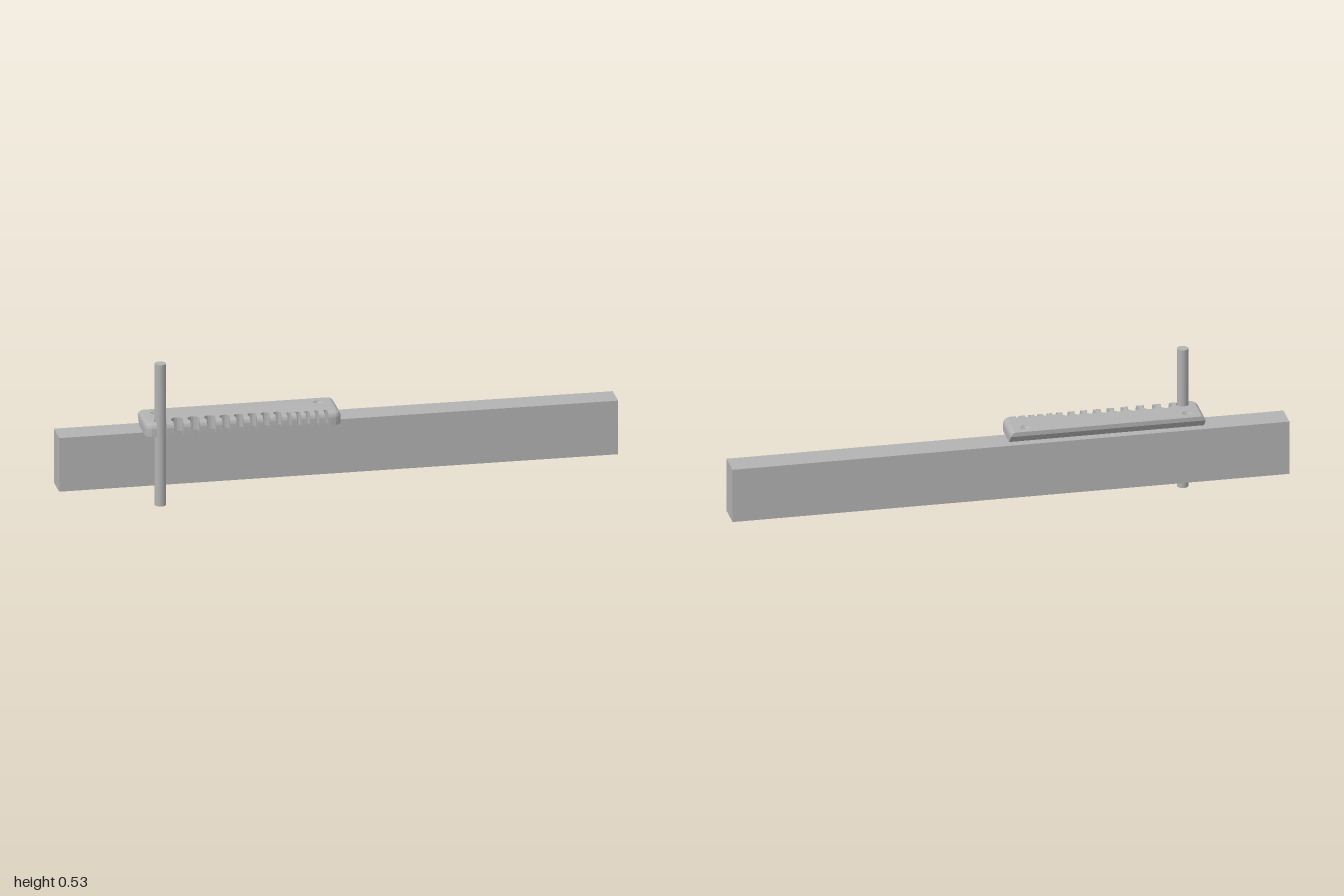
import * as THREE from 'three';
import { toCreasedNormals } from 'three/addons/utils/BufferGeometryUtils.js';

const LEFT = -0.7, RIGHT = 0, BACK = -0.078, FRONT = 0.079, CORNER = 0.03, ROUND = 0.02;
const HEIGHTS = [0, 0.028, 0.032, 0.0382, 0.0421, 0.0453, 0.0473, 0.048];
const SCREWS = [[-0.643, -0.037], [-0.06, -0.037]];

// Slots along the front edge: centre x, centre z, radius
const SLOTS = [
  [-0.643, 0.045, 0.023], [-0.583, 0.045, 0.022], [-0.524, 0.045, 0.021],
  [-0.466, 0.045, 0.02], [-0.413, 0.046, 0.018], [-0.363, 0.046, 0.017],
  [-0.315, 0.046, 0.016], [-0.269, 0.047, 0.015], [-0.225, 0.047, 0.014],
  ...[0, 1, 2, 3, 4].map((i) => [-0.186 + i * 0.033, 0.058, 0.0105 - i * 0.0006]),
];

// Plan outline (shape y is -z) with keyhole slots and screw holes
function rackShape() {
  const s = new THREE.Shape();
  s.moveTo(LEFT, -BACK);
  s.lineTo(LEFT, -FRONT + CORNER);
  s.absarc(LEFT + CORNER, -FRONT + CORNER, CORNER, Math.PI, Math.PI * 1.5, false);
  for (const [x, z, r] of SLOTS) {
    const a = Math.asin(0.78), m = r * 0.78;
    s.lineTo(x - m, -FRONT);
    s.absarc(x, -z, r, -Math.PI / 2 - a, -Math.PI / 2 + a, true);
    s.lineTo(x + m, -FRONT);
  }
  s.absarc(RIGHT - CORNER, -FRONT + CORNER, CORNER, -Math.PI / 2, 0, false);
  s.lineTo(RIGHT, -BACK);
  for (const [x, z] of SCREWS) {
    s.holes.push(new THREE.Path().absarc(x, -z, 0.018, 0, Math.PI * 2, true));
  }
  return s;
}

// Extruded in layers: rounded upper rim, undercut back, countersunk holes
function rackGeometry() {
  const steps = HEIGHTS.length - 1;
  const g = new THREE.ExtrudeGeometry(rackShape(), { depth: 1, steps, bevelEnabled: false, curveSegments: 20 });
  const p = g.attributes.position;
  for (let i = 0; i < p.count; i++) {
    const h = HEIGHTS[Math.round(p.getZ(i) * steps)];
    let x = p.getX(i), z = -p.getY(i);
    const screw = SCREWS.find(([sx, sz]) => Math.hypot(x - sx, z - sz) < 0.02);
    if (screw) {
      const k = THREE.MathUtils.lerp(0.4, 1, THREE.MathUtils.smoothstep(h, 0.036, 0.048));
      x = screw[0] + (x - screw[0]) * k;
      z = screw[1] + (z - screw[1]) * k;
    } else {
      // pull points inside the inset outline at this height
      const up = Math.max(0, h - (0.048 - ROUND));
      const d = ROUND - Math.sqrt(Math.max(0, ROUND * ROUND - up * up));
      const cx = THREE.MathUtils.clamp(x, LEFT + CORNER, RIGHT - CORNER);
      const cz = Math.min(z, FRONT - CORNER);
      const len = Math.hypot(x - cx, z - cz);
      if (len > CORNER - d) {
        x = cx + (x - cx) * (CORNER - d) / len;
        z = cz + (z - cz) * (CORNER - d) / len;
      }
      z = Math.max(z, BACK + Math.max(0, 0.032 - h));
    }
    p.setXYZ(i, x, h, z);
  }
  return toCreasedNormals(g, 0.55);
}

export function createModel() {
  const group = new THREE.Group();
  const grey = new THREE.MeshStandardMaterial({ color: 0xb2b2b2 });
  grey.name = 'grey';

  const add = (name, geometry, x, y, z) => {
    const mesh = new THREE.Mesh(geometry, grey);
    mesh.name = name;
    mesh.position.set(x, y, z);
    group.add(mesh);
  };

  add('beam', new THREE.BoxGeometry(2, 0.2, 0.1), 0, 0.165, -0.028);
  add('slottedRack', rackGeometry(), 0, 0.2655, 0);
  add('rod', new THREE.CylinderGeometry(0.02, 0.02, 0.527, 40), -0.643, 0.2635, 0.0445);
  return group;
}
